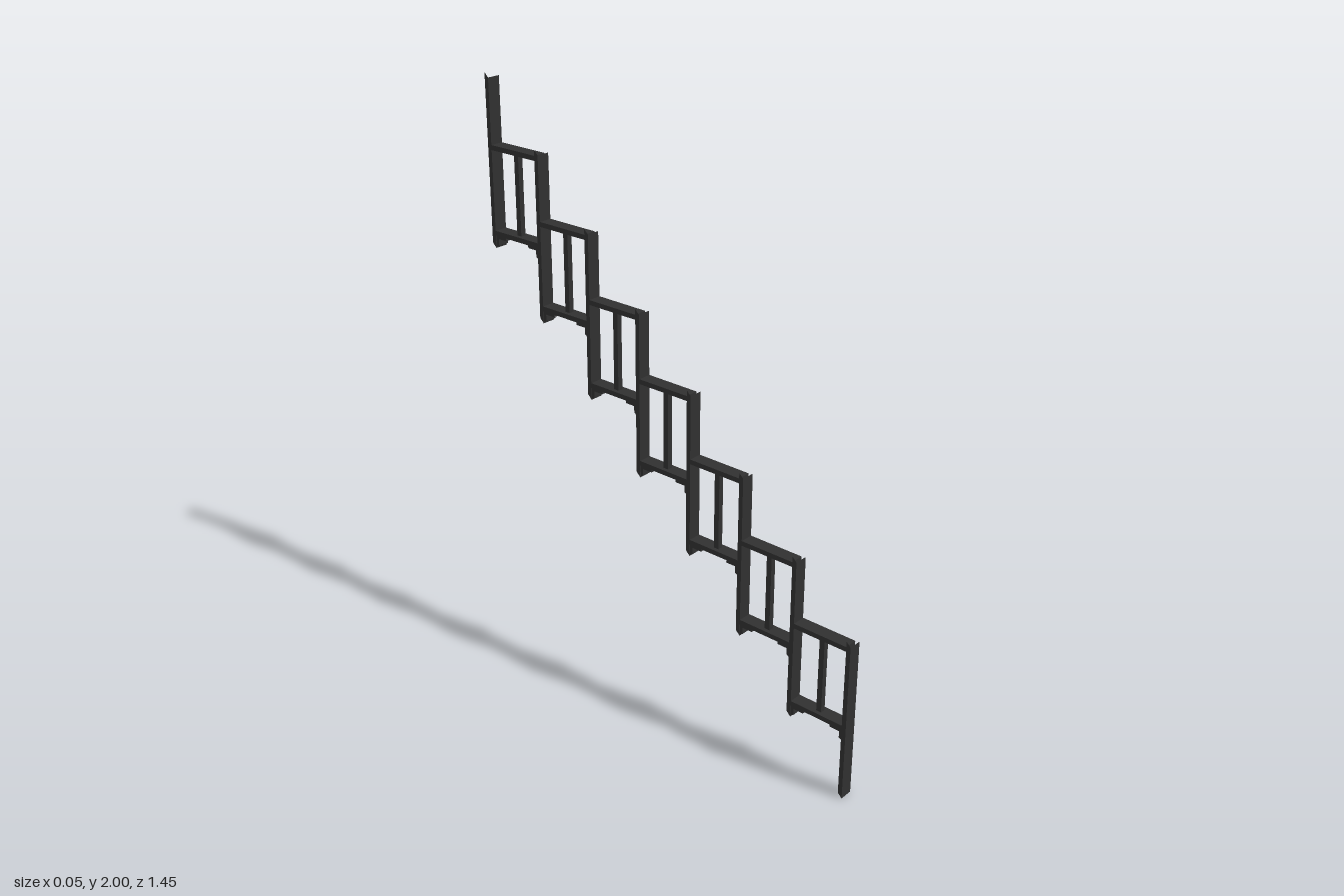
import * as THREE from 'three';

const BAYS = 7, WIDTH = 0.045, T = 0.015;
const POST_H = 0.56, RISE = (2 - POST_H) / BAYS;
const FIRST_Z = 0.718, RUN = (2 * FIRST_Z) / BAYS;

const material = new THREE.MeshStandardMaterial({ color: 0x303030 });

function add(parent, name, geometry, y, z) {
  const mesh = new THREE.Mesh(geometry, material);
  mesh.name = name;
  mesh.position.set(0, y, z);
  parent.add(mesh);
  return mesh;
}

// Flat bar with ends cut on the slope of the stair, open at both ends
function postGeometry() {
  const g = new THREE.BoxGeometry(WIDTH, POST_H - T, T);
  const p = g.attributes.position;
  for (let i = 0; i < p.count; i++) p.setY(i, p.getY(i) - p.getZ(i));
  const faces = Array.from(g.index.array);
  faces.splice(12, 12); // drop the top and bottom caps
  g.setIndex(faces);
  g.clearGroups();
  return g;
}

// Small angle bracket: an arm under the rail and a leg against the post
function bracketGeometry() {
  const s = new THREE.Shape();
  [[0, 0], [0.045, 0], [0.045, -0.01], [0.01, -0.01], [0.01, -0.032], [0, -0.038]]
    .forEach(([x, y], i) => (i ? s.lineTo(x, y) : s.moveTo(x, y)));
  const depth = WIDTH - 0.005;
  const g = new THREE.ExtrudeGeometry(s, { depth, bevelEnabled: false });
  g.translate(0, 0, -depth / 2);
  return g;
}

export function createModel() {
  const model = new THREE.Group();
  model.name = 'stairRailing';

  const post = postGeometry();
  const bracket = bracketGeometry();
  const span = RUN - T;
  const rail = new THREE.BoxGeometry(WIDTH, 0.016, span);
  const baluster = new THREE.BoxGeometry(0.018, 0.262, 0.018);

  // Stepped posts
  for (let i = 0; i <= BAYS; i++) {
    add(model, 'post', post, POST_H / 2 + i * RISE, FIRST_Z - i * RUN);
  }

  // One framed panel between each pair of posts
  for (let i = 0; i < BAYS; i++) {
    const bay = new THREE.Group();
    bay.name = 'panel';
    bay.position.set(0, i * RISE, FIRST_Z - (i + 0.5) * RUN);
    add(bay, 'topRail', rail, 0.533, 0);
    add(bay, 'bottomRail', rail, 0.255, 0);
    add(bay, 'baluster', baluster, 0.394, 0);
    for (const side of [1, -1]) {
      const b = add(bay, 'bracket', bracket, 0.247, (side * span) / 2);
      b.rotation.y = (side * Math.PI) / 2;
    }
    model.add(bay);
  }
  return model;
}
